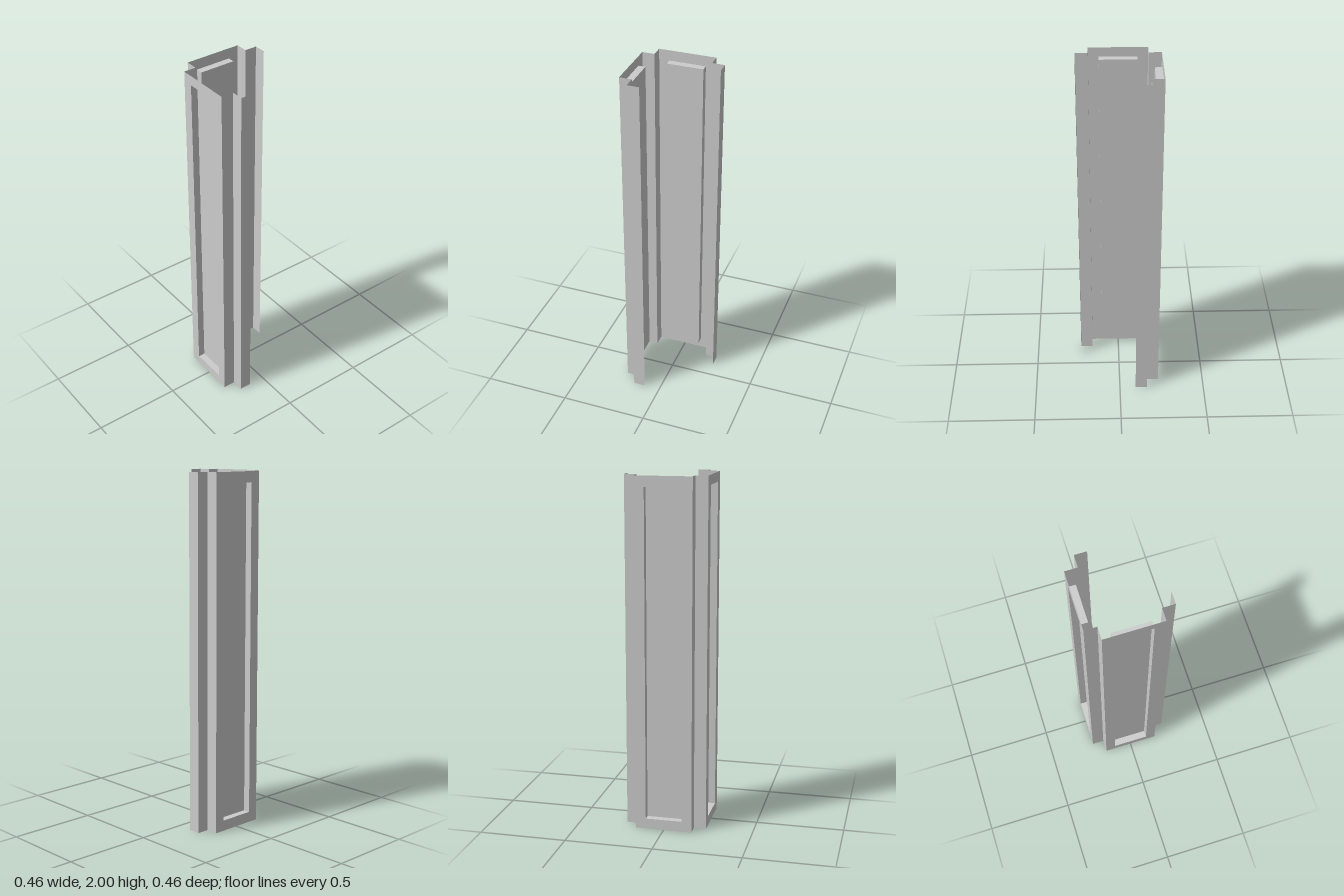
import * as THREE from 'three';
import { mergeGeometries } from 'three/addons/utils/BufferGeometryUtils.js';

const H = 2;          // height
const OUT = 0.232;    // outer wall plane
const STEP = 0.162;   // inner plane of the stepped corners
const LIP = 0.094;    // free edge of the end flanges
const RW = 0.104;     // half width of the recess
const DEPTH = 0.04;   // recess depth
const material = new THREE.MeshStandardMaterial({ color: 0xcccccc, side: THREE.DoubleSide, flatShading: true });

// Vertical sheet following [x, z] points, facing outward when they run left to right
function ribbon(points, y0, y1) {
  const strips = [];
  for (let i = 0; i < points.length - 1; i++) {
    const [ax, az] = points[i], [bx, bz] = points[i + 1];
    const strip = new THREE.PlaneGeometry(Math.hypot(bx - ax, bz - az), y1 - y0);
    strip.rotateY(Math.atan2(az - bz, bx - ax));
    strip.translate((ax + bx) / 2, (y0 + y1) / 2, (az + bz) / 2);
    strips.push(strip);
  }
  return mergeGeometries(strips);
}

function addMesh(parent, name, geometry) {
  const mesh = new THREE.Mesh(geometry, material);
  mesh.name = name;
  parent.add(mesh);
}

function rectangle(path, x, y0, y1) {
  return path.moveTo(-x, y0).lineTo(x, y0).lineTo(x, y1).lineTo(-x, y1).closePath();
}

// Flat wall with a sunken rectangular panel, facing +z
function panelWall(name, margin) {
  const wall = new THREE.Group();
  wall.name = name;
  const y0 = margin, y1 = H - margin, back = OUT - DEPTH;

  const frame = rectangle(new THREE.Shape(), STEP, 0, H);
  frame.holes.push(rectangle(new THREE.Path(), RW, y0, y1));
  addMesh(wall, 'frame', new THREE.ShapeGeometry(frame).translate(0, 0, OUT));

  // Recess sides and back
  addMesh(wall, 'recessedPanel', ribbon([[-RW, OUT], [-RW, back], [RW, back], [RW, OUT]], y0, y1));

  // Recess sill and head
  const ledge = () => new THREE.PlaneGeometry(RW * 2, DEPTH);
  addMesh(wall, 'recessLedges', mergeGeometries([
    ledge().rotateX(-Math.PI / 2).translate(0, y0, OUT - DEPTH / 2),
    ledge().rotateX(Math.PI / 2).translate(0, y1, OUT - DEPTH / 2),
  ]));
  return wall;
}

export function createModel() {
  const model = new THREE.Group();
  model.name = 'cornerPillar';

  // Two panelled walls at a right angle
  const front = panelWall('frontWall', 0.054);
  const side = panelWall('sideWall', 0.06);
  side.rotation.y = -Math.PI / 2;
  model.add(front, side);

  // Notched corner between the walls, and a stepped flange on each free end
  addMesh(model, 'cornerNotch', ribbon([[-OUT, STEP], [-STEP, STEP], [-STEP, OUT]], 0, H));
  addMesh(model, 'frontFlange', ribbon([[STEP, OUT], [STEP, STEP], [OUT, STEP], [OUT, LIP]], 0, H));
  addMesh(model, 'backFlange', ribbon([[-LIP, -OUT], [-STEP, -OUT], [-STEP, -STEP], [-OUT, -STEP]], 0, H));
  return model;
}
